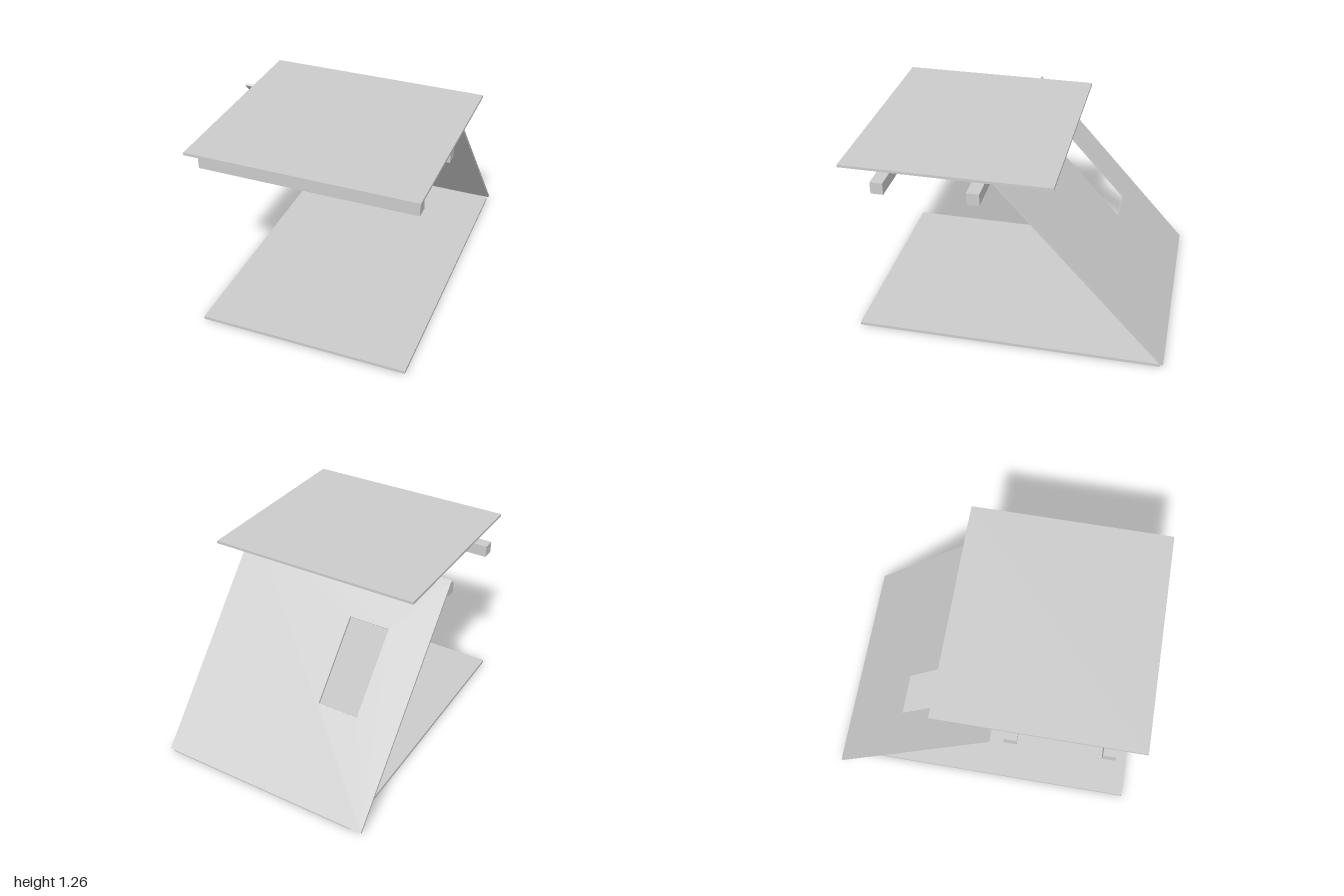
import * as THREE from 'three';

const material = new THREE.MeshStandardMaterial({ color: 0xcccccc, flatShading: true });

// Box given by its minimum and maximum corners
function slab(name, [x0, y0, z0], [x1, y1, z1]) {
  const mesh = new THREE.Mesh(new THREE.BoxGeometry(x1 - x0, y1 - y0, z1 - z0), material);
  mesh.name = name;
  mesh.position.set((x0 + x1) / 2, (y0 + y1) / 2, (z0 + z1) / 2);
  return mesh;
}

function rectangle(path, x0, y0, x1, y1) {
  path.moveTo(x0, y0);
  path.lineTo(x1, y0);
  path.lineTo(x1, y1);
  path.lineTo(x0, y1);
  path.closePath();
  return path;
}

export function createModel() {
  const group = new THREE.Group();
  group.name = 'shelter';

  group.add(slab('floor', [-0.667, 0, -0.982], [0.695, 0.021, 1]));
  group.add(slab('roof', [-0.677, 1.239, -0.296], [0.745, 1.256, 1]));

  // Two beams under the roof
  for (const [name, z] of [['frontBeam', 0.79], ['rearBeam', 0.195]]) {
    group.add(slab(name, [-0.692, 1.048, z - 0.04], [0.693, 1.126, z + 0.04]));
  }

  // Leaning back wall with a window, cut square to its own plane
  const thickness = 0.016;
  const outline = rectangle(new THREE.Shape(), -0.75, 0, 0.708, 1.613);
  outline.holes.push(rectangle(new THREE.Path(), -0.472, 0.634, -0.197, 1.21));
  const geometry = new THREE.ExtrudeGeometry(outline, { depth: thickness, bevelEnabled: false });
  geometry.translate(0, 0, -thickness);
  const wall = new THREE.Mesh(geometry, material);
  wall.name = 'leaningWall';
  wall.rotation.x = Math.atan2(1.07, 1.21);
  wall.position.set(0, 0.021, -0.988);
  group.add(wall);

  return group;
}
